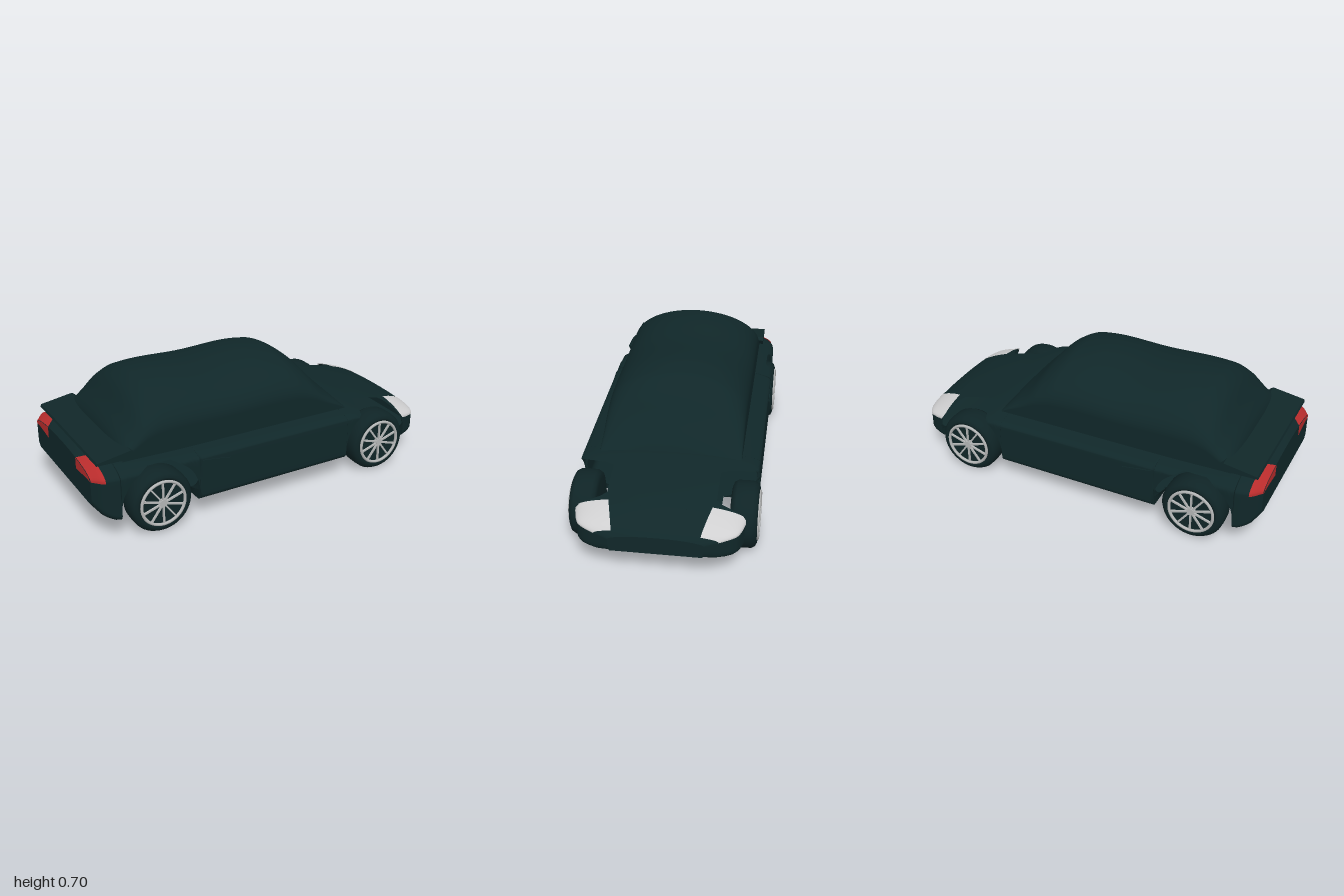
import * as THREE from 'three';

const mat = (name, color, side = THREE.FrontSide) => {
  const m = new THREE.MeshStandardMaterial({ color, side });
  m.name = name;
  return m;
};

// Smooth monotone interpolation of station rows [x, a, b, ...]
function sample(rows, x) {
  let i = 0;
  while (i < rows.length - 2 && x > rows[i + 1][0]) i++;
  const slope = (j, k) => (rows[j + 1][k] - rows[j][k]) / (rows[j + 1][0] - rows[j][0]);
  const tangent = (j, k) => {
    if (j === 0) return slope(0, k);
    if (j === rows.length - 1) return slope(j - 1, k);
    const a = slope(j - 1, k), b = slope(j, k);
    return a * b <= 0 ? 0 : 2 * a * b / (a + b);
  };
  const h = rows[i + 1][0] - rows[i][0], s = (x - rows[i][0]) / h;
  return rows[i].slice(1).map((_, n) => {
    const k = n + 1;
    return (2 * s ** 3 - 3 * s * s + 1) * rows[i][k] + (s ** 3 - 2 * s * s + s) * h * tangent(i, k)
      + (3 * s * s - 2 * s ** 3) * rows[i + 1][k] + (s ** 3 - s * s) * h * tangent(i + 1, k);
  });
}

// Surface through equal-length rows of points
function skin(rows) {
  const n = rows[0].length, index = [];
  for (let i = 0; i < rows.length - 1; i++) {
    for (let j = 0; j < n - 1; j++) {
      const a = i * n + j, b = a + n;
      index.push(a, b, a + 1, b, b + 1, a + 1);
    }
  }
  const g = new THREE.BufferGeometry();
  g.setAttribute('position', new THREE.Float32BufferAttribute(rows.flat(2), 3));
  g.setIndex(index);
  g.computeVertexNormals();
  return g;
}

const range = (a, b, n) => Array.from({ length: n + 1 }, (_, i) => a + (b - a) * i / n);
const mirrorRow = (row) => [...row, ...row.slice(0, -1).reverse().map(([x, y, z]) => [x, y, -z])];

// Body stations: x, half width, floor, shoulder height, top height
const BODY = [
  [-1, 0.37, 0.2, 0.335, 0.39], [-0.95, 0.425, 0.145, 0.34, 0.415], [-0.88, 0.445, 0.115, 0.34, 0.425],
  [-0.5, 0.455, 0.113, 0.345, 0.405], [0.48, 0.455, 0.113, 0.34, 0.395], [0.65, 0.45, 0.113, 0.31, 0.37],
  [0.85, 0.412, 0.118, 0.25, 0.325], [0.93, 0.385, 0.128, 0.24, 0.292], [0.98, 0.31, 0.138, 0.23, 0.262],
  [1, 0.23, 0.15, 0.21, 0.238],
];
// Cabin stations: x, roof height
const CABIN = [
  [-0.84, 0.37], [-0.825, 0.45], [-0.75, 0.56], [-0.68, 0.65], [-0.6, 0.692], [-0.48, 0.7], [-0.22, 0.69],
  [0.03, 0.7], [0.17, 0.685], [0.27, 0.63], [0.37, 0.52], [0.46, 0.425], [0.5, 0.37],
];
const WHEELS = [-0.665, 0.65], AXLE = 0.17, ARCH = 0.21, WELL = 0.27;

const floorEdge = (w) => Math.min(WELL, w - 0.05);

// Half section of the body: floor edge, sill curve, flank, shoulder, centre line
function section(x, t) {
  const [w, yb, ys, yt] = sample(BODY, x), z0 = floorEdge(w), r = 0.035;
  if (t < 0.2) return [x, yb, z0 + (w - r - z0) * t / 0.2];
  if (t < 0.4) {
    const a = (t - 0.2) / 0.2 * Math.PI / 2;
    return [x, yb + r * (1 - Math.cos(a)), w - r + r * Math.sin(a)];
  }
  if (t < 0.6) return [x, yb + r + (ys - yb - r) * (t - 0.4) / 0.2, w];
  const a = (t - 0.6) / 0.4 * Math.PI / 2;
  return [x, ys + (yt - ys) * Math.sin(a), w * Math.cos(a)];
}

// First section parameter above the wheel arch
function archStart(x) {
  const i = WHEELS.findIndex((c) => Math.abs(x - c) < ARCH);
  if (i < 0) return 0;
  const top = Math.min(AXLE + Math.sqrt(ARCH ** 2 - (x - WHEELS[i]) ** 2), i ? 1 : 0.37);
  let t = 0;
  while (t < 1) {
    const [, y, z] = section(x, t);
    if (y > top || z < WELL - 1e-4) break;
    t += 0.002;
  }
  return Math.min(t, 1);
}

export function createModel() {
  const car = new THREE.Group();
  car.name = 'car';
  const paint = mat('dark green paint', 0x102729, THREE.DoubleSide);
  const rubber = mat('tyre black', 0x0f2426);
  const silver = mat('rim silver', 0xb4b6b6);
  const lens = mat('headlight white', 0xcfcfd0, THREE.DoubleSide);
  const red = mat('tail light red', 0xb92c2c, THREE.DoubleSide);
  const add = (name, geometry, material, parent = car) => {
    const m = new THREE.Mesh(geometry, material);
    m.name = name;
    parent.add(m);
    return m;
  };

  // Body shell with open wheel arches
  const xs = range(-1, 1, 100);
  for (const c of WHEELS) {
    for (const s of [-1, 1]) for (const d of [0.0001, -0.0001, -0.001, -0.004, -0.01]) xs.push(c + s * (ARCH + d));
  }
  xs.sort((a, b) => a - b);
  add('bodyShell', skin(xs.map((x) => {
    const t0 = archStart(x);
    return mirrorRow(range(t0, 1, 40).map((t) => section(x, t)));
  })), paint);
  add('floor', skin(xs.map((x) => {
    const [w, yb] = sample(BODY, x), z0 = floorEdge(w);
    return [[x, yb, -z0], [x, yb, z0]];
  })), paint);
  for (const x of [-1, 1]) {
    const loop = mirrorRow(range(0, 1, 30).map((t) => section(x, t)));
    loop.push(loop[0]);
    add(x > 0 ? 'nosePanel' : 'tailPanel', skin([loop, loop.map(() => [x, 0.25 - 0.05 * x, 0])]), paint);
  }

  // Cabin
  add('cabin', skin(range(-0.84, 0.5, 80).map((x) => {
    const [top] = sample(CABIN, x), base = 0.36, ys = base + (top - base) * 0.41;
    const arc = range(0, Math.PI / 2, 20).map((a) => [x, ys + (top - ys) * Math.sin(a), 0.362 * Math.cos(a)]);
    return mirrorRow([[x, base, 0.362], ...arc]);
  })), paint);

  // Tail spoiler
  const wing = new THREE.Shape([[-0.97, 0.415], [-0.965, 0.428], [-0.79, 0.455], [-0.77, 0.44], [-0.79, 0.41]]
    .map(([x, y]) => new THREE.Vector2(x, y)));
  const wingGeo = new THREE.ExtrudeGeometry(wing, { depth: 0.77, bevelEnabled: false });
  wingGeo.translate(0, 0, -0.385);
  add('spoiler', wingGeo, paint);

  // Front lower grille
  add('grille', new THREE.BoxGeometry(0.012, 0.052, 0.45), paint).position.set(0.994, 0.171, 0);

  // Lights laid over the shell, reaching from the shoulder to half width zIn
  const patch = (x0, x1, zIn, side) => skin(range(x0, x1, 16).map((x) => {
    const [w] = sample(BODY, x);
    const end = 0.6 + 0.4 * Math.acos(Math.min(1, zIn(x) / w)) / (Math.PI / 2);
    return range(Math.min(Math.max(0.59, archStart(x)), end), end, 14).map((t) => {
      const [px, py, pz] = section(x, t);
      return [px, py + 0.003, side * (pz + 0.003)];
    });
  }));
  for (const side of [1, -1]) {
    const label = side > 0 ? 'left' : 'right';
    add(label + 'Headlight', patch(0.83, 0.985, (x) => 0.25 - 0.04 * (x - 0.83) / 0.155, side), lens);
    add(label + 'TailLightTop', patch(-1, -0.945, (x) => 0.19 + (x + 1) * 0.9, side), red);
    const y = (z) => 0.335 + 0.055 * Math.sqrt(1 - (z / 0.37) ** 2);
    add(label + 'TailLightRear', skin(range(0.19, 0.37, 12).map((z) =>
      [[-1.002, Math.min(0.335, 0.322 + 0.1 * (z - 0.19)), side * z], [-1.002, y(z) + 0.002, side * z]])), red);

    // Door handle
    const grip = new THREE.Shape([[-0.45, 0.305], [-0.44, 0.342], [-0.38, 0.335], [-0.28, 0.318], [-0.27, 0.3], [-0.29, 0.293], [-0.43, 0.297]]
      .map(([x, yy]) => new THREE.Vector2(x, yy)));
    const gripGeo = new THREE.ExtrudeGeometry(grip, { depth: 0.009, bevelEnabled: false });
    gripGeo.translate(0, 0, side > 0 ? 0.451 : -0.46);
    add(label + 'DoorHandle', gripGeo, paint);
  }

  // Wheels
  const tyreProfile = [[0, 0.33], [0.13, 0.33], [0.155, 0.338], [0.166, 0.356], [0.168, 0.4], [0.166, 0.44],
    [0.155, 0.458], [0.138, 0.466], [0.126, 0.464], [0.122, 0.452], [0, 0.452]].map(([r, z]) => new THREE.Vector2(r, z));
  const tyreGeo = new THREE.LatheGeometry(tyreProfile, 48).rotateX(Math.PI / 2);
  const ringGeo = new THREE.TorusGeometry(0.118, 0.008, 8, 48);
  const hubGeo = new THREE.CylinderGeometry(0.02, 0.022, 0.02, 20).rotateX(Math.PI / 2);
  const spokeGeo = new THREE.BoxGeometry(0.009, 0.105, 0.01).translate(0, 0.064, 0);
  for (const x of WHEELS) {
    for (const side of [1, -1]) {
      const wheel = new THREE.Group();
      wheel.name = (side > 0 ? 'left' : 'right') + (x > 0 ? 'Front' : 'Rear') + 'Wheel';
      add('tyre', tyreGeo, rubber, wheel);
      add('rim', ringGeo, silver, wheel).position.z = 0.466;
      add('hub', hubGeo, silver, wheel).position.z = 0.461;
      for (let i = 0; i < 10; i++) {
        const spoke = add('spoke', spokeGeo, silver, wheel);
        spoke.position.z = 0.464;
        spoke.rotation.z = i * Math.PI / 5;
      }
      wheel.position.set(x, 0.168, 0);
      if (side < 0) wheel.rotation.y = Math.PI;
      car.add(wheel);
    }
  }
  return car;
}
